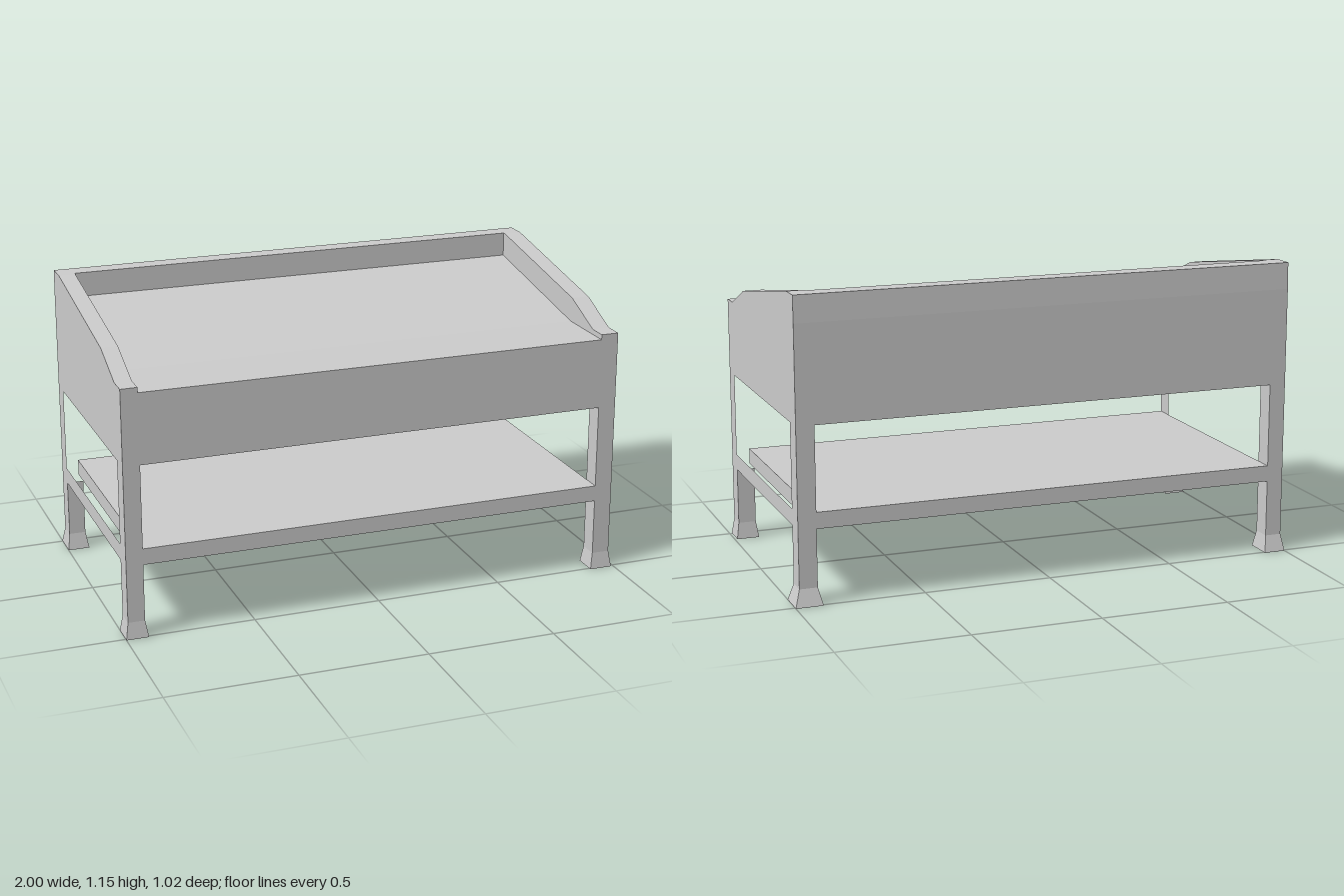
import * as THREE from 'three';

const material = new THREE.MeshStandardMaterial({ color: 0xcccccc, flatShading: true });
const LEFT = { out: 0.98, inn: 0.91 };
const RIGHT = { out: -0.99, inn: -0.925 };
const FRONT = 0.5, BACK = -0.488, FRONT_IN = 0.424, BACK_IN = -0.411;
const FOOT_TOP = 0.065;

const toPoints = (list) => list.map(([z, y]) => new THREE.Vector2(-z, y));

// Extrudes a side profile of [z, y] points along x from x0 to x1
function extrudeProfile(name, outline, x0, x1, hole) {
  const shape = new THREE.Shape(toPoints(outline));
  if (hole) shape.holes.push(new THREE.Path(toPoints(hole)));
  const geometry = new THREE.ExtrudeGeometry(shape, { depth: x1 - x0, bevelEnabled: false });
  geometry.rotateY(Math.PI / 2).translate(x0, 0, 0);
  const mesh = new THREE.Mesh(geometry, material);
  mesh.name = name;
  return mesh;
}

// Foot: a box whose upper corners match the leg and lower corners flare out
function flaredFoot(name, leg, base) {
  const geometry = new THREE.BoxGeometry(1, 1, 1);
  const p = geometry.attributes.position;
  for (let i = 0; i < p.count; i++) {
    const top = p.getY(i) > 0;
    const r = top ? leg : base;
    p.setXYZ(i, p.getX(i) < 0 ? r[0] : r[1], top ? FOOT_TOP : 0, p.getZ(i) < 0 ? r[2] : r[3]);
  }
  geometry.computeVertexNormals();
  const mesh = new THREE.Mesh(geometry, material);
  mesh.name = name;
  return mesh;
}

export function createModel() {
  const model = new THREE.Group();
  model.name = 'displayTable';

  // Side frames: legs, shelf rail and raised cheek in one silhouette
  const sideOutline = [
    [FRONT, FOOT_TOP], [FRONT, 0.97], [FRONT_IN, 0.97], [0.24, 1.046], [-0.4, 1.153], [-0.485, 1.153],
    [BACK, 1.05], [BACK, FOOT_TOP], [BACK_IN, FOOT_TOP], [BACK_IN, 0.287], [FRONT_IN, 0.287], [FRONT_IN, FOOT_TOP],
  ];
  const sideOpening = [[FRONT_IN, 0.35], [FRONT_IN, 0.675], [BACK_IN, 0.675], [BACK_IN, 0.35]];
  model.add(extrudeProfile('leftSide', sideOutline, LEFT.inn, LEFT.out, sideOpening));
  model.add(extrudeProfile('rightSide', sideOutline, RIGHT.out, RIGHT.inn, sideOpening));

  // Tray: closed box with a flat front, a sloping top and a raised back wall
  model.add(extrudeProfile('tray', [
    [FRONT, 0.675], [FRONT, 0.95], [0.235, 0.95], [BACK_IN, 1.058],
    [BACK_IN, 1.153], [-0.485, 1.153], [BACK, 1.05], [BACK, 0.675],
  ], RIGHT.inn, LEFT.inn));

  // Lower shelf
  model.add(extrudeProfile('shelf', [
    [FRONT, 0.287], [FRONT, 0.35], [BACK, 0.35], [BACK, 0.287],
  ], RIGHT.inn, LEFT.inn));

  // Feet: ranges are [xMin, xMax, zMin, zMax]
  const leftX = [LEFT.inn, LEFT.out], rightX = [RIGHT.out, RIGHT.inn];
  const frontZ = [FRONT_IN, FRONT], backZ = [BACK, BACK_IN];
  model.add(
    flaredFoot('frontLeftFoot', [...leftX, ...frontZ], [0.9, 0.99, 0.414, 0.51]),
    flaredFoot('frontRightFoot', [...rightX, ...frontZ], [-1, -0.914, 0.414, 0.51]),
    flaredFoot('backLeftFoot', [...leftX, ...backZ], [0.895, 1, -0.51, -0.394]),
    flaredFoot('backRightFoot', [...rightX, ...backZ], [-1, -0.914, -0.508, -0.397]),
  );
  return model;
}
